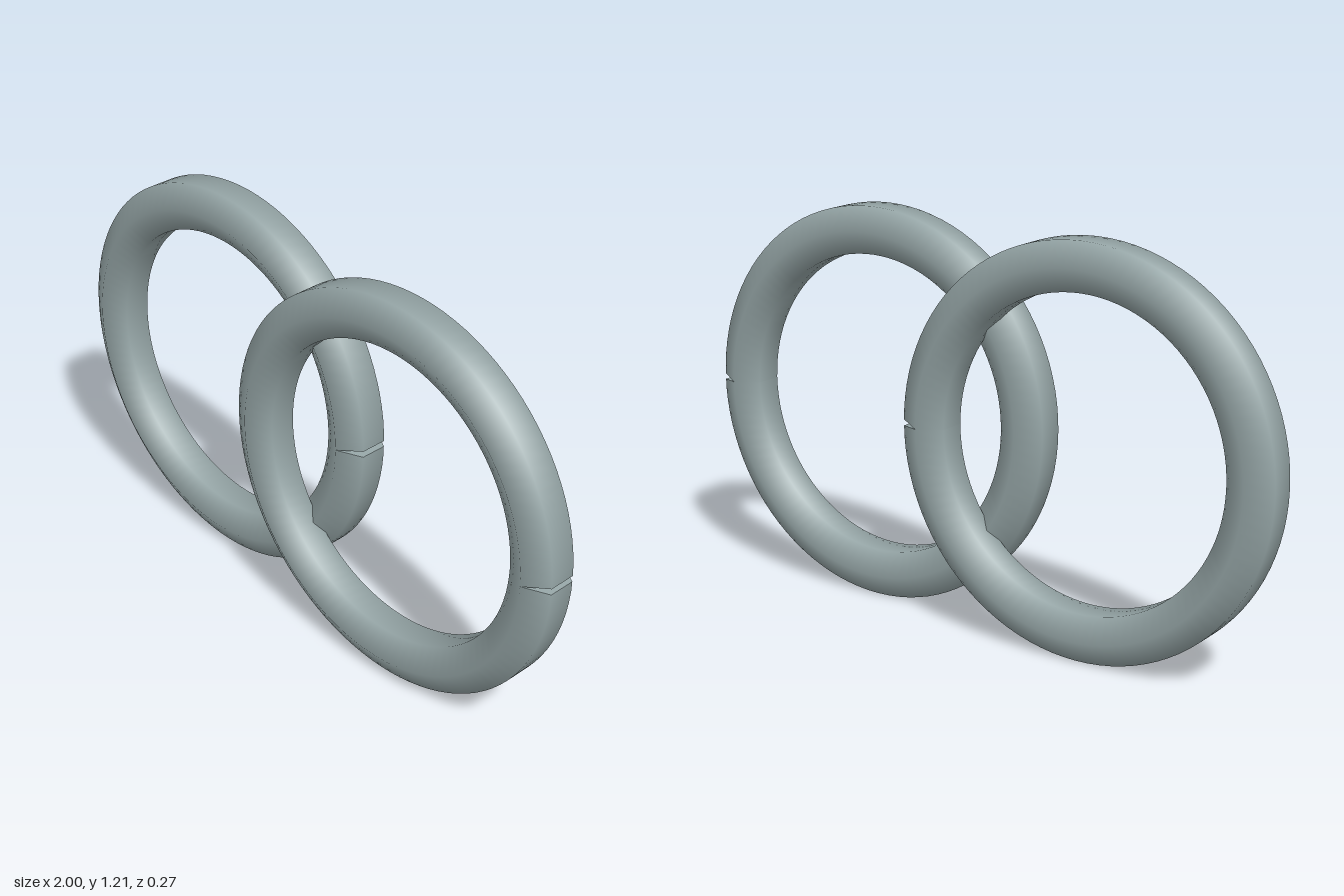
import * as THREE from 'three';

const RADIUS = 0.533;   // centre line of the ring
const TUBE = 0.083;     // circumradius of the hexagonal section
const SIDES = 6;
const STEPS = 96;
const TILT = 0.13;      // slant of the two cut ends, opening a V notch outward

// Ring with a flat-topped hexagonal section, split at +x
function ringGeometry() {
  const geo = new THREE.TorusGeometry(RADIUS, TUBE, SIDES, STEPS);
  const { position, normal, uv } = geo.attributes;
  for (let i = 0; i < position.count; i++) {
    const step = Math.round(uv.getX(i) * STEPS);
    const v = uv.getY(i) * Math.PI * 2 + Math.PI / 6;
    const u = (step / STEPS) * Math.PI * 2;
    const tilt = step === 0 ? TILT : step === STEPS ? -TILT : 0;
    const out = TUBE * Math.cos(v);
    const cx = Math.cos(u + tilt), cy = Math.sin(u + tilt);
    position.setXYZ(i,
      RADIUS * Math.cos(u) + out * cx,
      RADIUS * Math.sin(u) + out * cy,
      TUBE * Math.sin(v));
    normal.setXYZ(i, Math.cos(v) * Math.cos(u), Math.cos(v) * Math.sin(u), Math.sin(v));
  }
  return geo;
}

// Hexagonal face closing one cut end; side is 1 above the notch, -1 below
function endGeometry(side) {
  return new THREE.CircleGeometry(TUBE, SIDES, Math.PI / 6)
    .rotateX(side * Math.PI / 2)
    .rotateZ(side * TILT)
    .translate(RADIUS, 0, 0);
}

export function createModel() {
  const model = new THREE.Group();
  model.name = 'linkedRings';
  const metal = new THREE.MeshStandardMaterial({ color: 0x95a5a6 });
  metal.name = 'greyMetal';

  const parts = {
    ringBody: ringGeometry(),
    upperCutEnd: endGeometry(1),
    lowerCutEnd: endGeometry(-1),
  };

  // Two interlocking rings, one set slightly in front of the other
  for (const [name, side] of [['rightRing', -1], ['leftRing', 1]]) {
    const ring = new THREE.Group();
    ring.name = name;
    for (const [part, geo] of Object.entries(parts)) {
      const mesh = new THREE.Mesh(geo, metal);
      mesh.name = part;
      ring.add(mesh);
    }
    ring.position.set(side * 0.395, 0.605, side * 0.05);
    model.add(ring);
  }
  return model;
}
